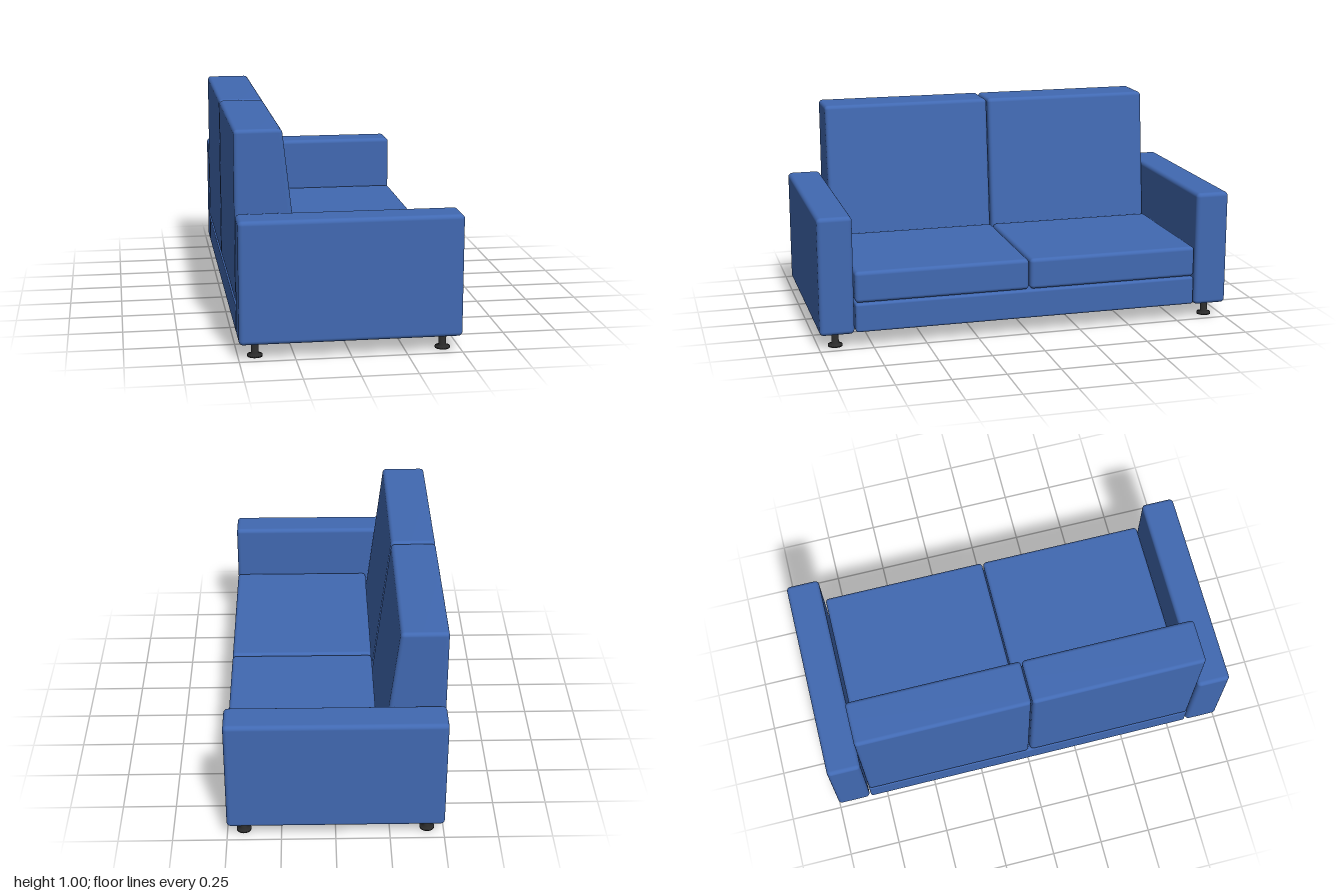
import * as THREE from 'three';
import { RoundedBoxGeometry } from 'three/addons/geometries/RoundedBoxGeometry.js';
import { mergeVertices } from 'three/addons/utils/BufferGeometryUtils.js';

const fabric = new THREE.MeshStandardMaterial({ color: 0x4169b2 });
const dark = new THREE.MeshStandardMaterial({ color: 0x2b2b2b });

// Soft-edged block given by its extents on each axis
function block(name, [x0, x1], [y0, y1], [z0, z1], radius) {
  const geometry = new RoundedBoxGeometry(x1 - x0, y1 - y0, z1 - z0, 4, radius);
  geometry.translate((x0 + x1) / 2, (y0 + y1) / 2, (z0 + z1) / 2);
  const mesh = new THREE.Mesh(geometry, fabric);
  mesh.name = name;
  return mesh;
}

// Back cushion: upright rear face, front face leaning back towards the top
function backCushion(name, zRange) {
  const rear = -0.5, y0 = 0.218, y1 = 1, bottomDepth = 0.304, topDepth = 0.214;
  const mesh = block(name, [rear, rear + topDepth], [y0, y1], zRange, 0.018);
  const p = mesh.geometry.attributes.position;
  for (let i = 0; i < p.count; i++) {
    const t = (p.getY(i) - y0) / (y1 - y0);
    const depth = THREE.MathUtils.lerp(bottomDepth, topDepth, t);
    p.setX(i, rear + (p.getX(i) - rear) * depth / topDepth);
  }
  mesh.geometry.deleteAttribute('normal');
  mesh.geometry.deleteAttribute('uv');
  mesh.geometry = mergeVertices(mesh.geometry, 1e-5);
  mesh.geometry.computeVertexNormals();
  return mesh;
}

// Turned foot: flat disc, short cone, slim post
function foot(name, x, z) {
  const profile = [[0, 0], [0.034, 0], [0.034, 0.009], [0.017, 0.016], [0.017, 0.08], [0, 0.08]];
  const points = profile.map(([r, y]) => new THREE.Vector2(r, y));
  const geometry = new THREE.LatheGeometry(points, 24);
  const mesh = new THREE.Mesh(geometry, dark);
  mesh.name = name;
  mesh.position.set(x, 0, z);
  return mesh;
}

export function createModel() {
  const sofa = new THREE.Group();
  sofa.name = 'sofa';

  // Base under both seats
  sofa.add(block('base', [-0.5, 0.5], [0.078, 0.216], [-0.832, 0.832], 0.012));

  // Mirrored arms, cushions and feet
  for (const [side, s] of [['right', 1], ['left', -1]]) {
    const span = (a, b) => (s > 0 ? [a, b] : [-b, -a]);
    sofa.add(block(side + 'Arm', [-0.5, 0.5], [0.072, 0.63], span(0.838, 1), 0.02));
    sofa.add(block(side + 'SeatCushion', [-0.2, 0.5], [0.219, 0.367], span(0.003, 0.832), 0.018));
    sofa.add(backCushion(side + 'BackCushion', span(0.003, 0.832)));
    sofa.add(foot(side + 'FrontFoot', 0.424, s * 0.92));
    sofa.add(foot(side + 'RearFoot', -0.424, s * 0.92));
  }
  return sofa;
}
